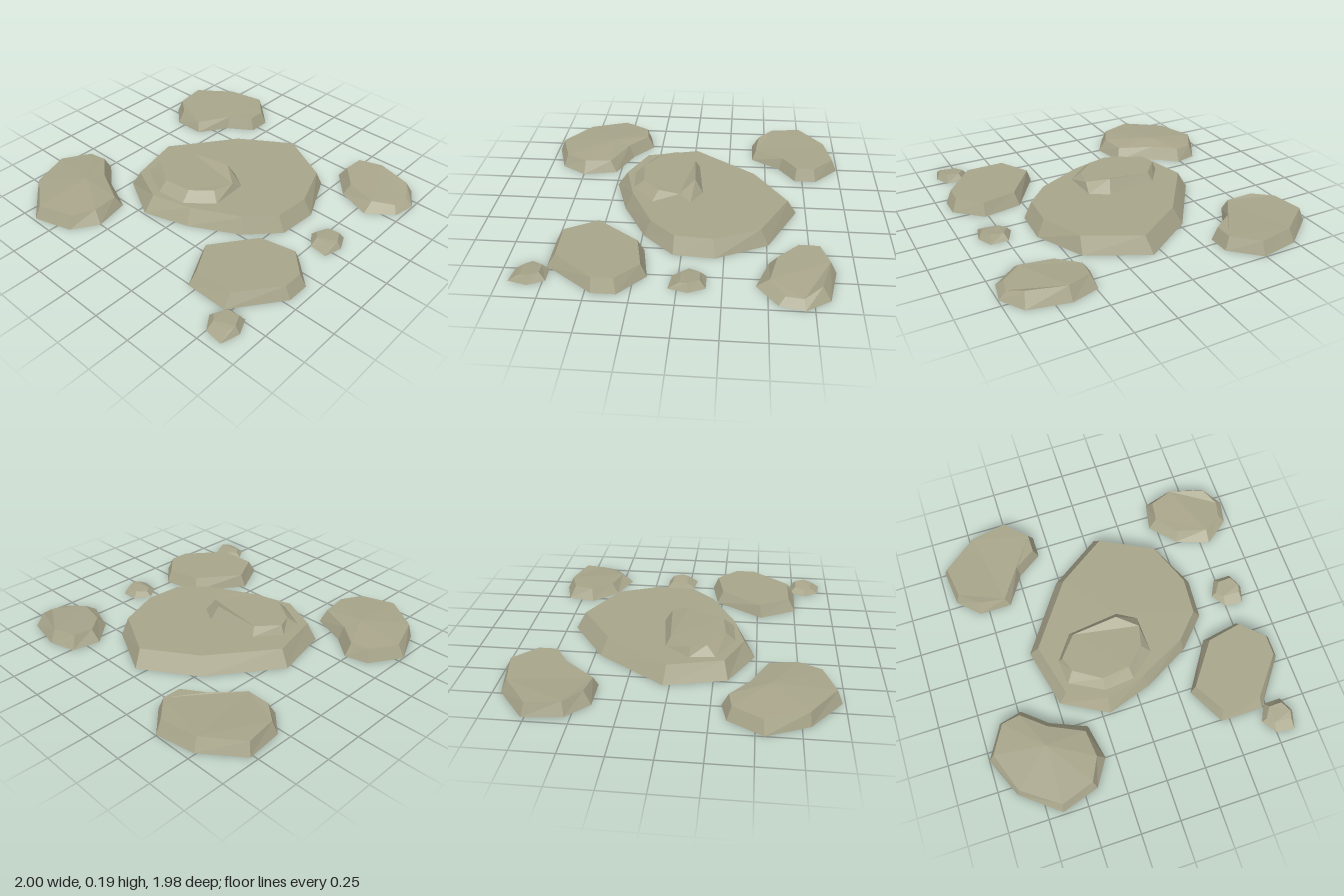
import * as THREE from 'three';

const stone = new THREE.MeshStandardMaterial({ color: 0xa8a58b, side: THREE.DoubleSide });
stone.name = 'khaki stone';

// Rings run clockwise seen from above; each point is [x, z] or [x, z, y]
const ring = (points, y) => points.map(p => new THREE.Vector3(p[0], p[2] ?? y, p[1]));

// Sloping sides between two rings of equal length
function sides(low, high) {
  const tris = [];
  low.forEach((a, i) => {
    const j = (i + 1) % low.length;
    tris.push([a, high[i], low[j]], [low[j], high[i], high[j]]);
  });
  return tris;
}

// Upward-facing lid, either fanned to a peak or triangulated around a hole
function lid(edge, { peak, hole } = {}) {
  if (peak) return edge.map((a, i) => [peak, edge[(i + 1) % edge.length], a]);
  const flat = r => r.map(p => new THREE.Vector2(p.x, -p.z));
  const all = hole ? [...edge, ...hole] : edge;
  // Reversed copies keep the winding the triangulator expects
  const outer = flat(edge), holes = hole ? [flat(hole)] : [];
  return THREE.ShapeUtils.triangulateShape(outer, holes).map(f => {
    const [a, b, c] = f.map(i => all[i]);
    const up = (b.z - a.z) * (c.x - a.x) - (b.x - a.x) * (c.z - a.z);
    return up > 0 ? [a, b, c] : [a, c, b];
  });
}

function makeMesh(name, tris) {
  const geo = new THREE.BufferGeometry().setFromPoints(tris.flat());
  geo.computeVertexNormals();
  const mesh = new THREE.Mesh(geo, stone);
  mesh.name = name;
  return mesh;
}

// Simple open-bottomed slab
function slab(name, base, top, height, peak) {
  const low = ring(base, 0), high = ring(top, height);
  return makeMesh(name, [...sides(low, high), ...lid(high, { peak })]);
}

export function createModel() {
  const group = new THREE.Group();
  group.name = 'steppingStones';

  // Large central stone with an opening under its raised upper layer
  const low = ring([[-.575, -.04], [-.275, -.465], [.06, -.69], [.425, -.51], [.575, -.2],
    [.56, .05], [.38, .24], [.085, .4], [-.2, .49], [-.485, .335]], 0);
  const high = ring([[-.515, -.025], [-.23, -.42], [.085, -.63], [.415, -.46], [.525, -.185],
    [.51, .045], [.365, .2], [.065, .35], [-.19, .42], [-.43, .31]], .105);
  const stepLow = ring([[-.415, .1], [-.3, -.055], [.03, -.095], [.147, -.025],
    [.158, .215], [0, .35], [-.19, .367], [-.4, .255]], .105);
  const stepHigh = ring([[-.39, .105], [-.28, -.025], [.01, -.045, .19], [.135, .045, .155],
    [.105, .18], [-.013, .285], [-.19, .305], [-.355, .2]], .16);
  group.add(makeMesh('centralStone', [...sides(low, high), ...lid(high, { hole: stepLow })]));
  group.add(makeMesh('centralStoneUpperLayer', [...sides(stepLow, stepHigh), ...lid(stepHigh)]));

  // Four medium stones around it
  group.add(slab('backRightStone',
    [[-.965, -.77], [-.74, -.95], [-.495, -.995], [-.33, -.84], [-.33, -.7],
      [-.485, -.595], [-.605, -.41], [-.81, -.41], [-.94, -.535]],
    [[-.94, -.75], [-.725, -.915], [-.495, -.96], [-.36, -.825], [-.36, -.71],
      [-.495, -.62], [-.63, -.435, .065], [-.795, -.455], [-.91, -.55]], .082));
  group.add(slab('frontRightStone',
    [[-1, .55], [-.88, .345], [-.735, .31], [-.585, .435], [-.36, .53],
      [-.315, .75], [-.415, .91], [-.655, .985], [-.89, .8]],
    [[-.96, .54], [-.86, .37], [-.745, .35], [-.6, .47], [-.385, .57, .075],
      [-.365, .74], [-.435, .88], [-.645, .95], [-.87, .79]], .083,
    new THREE.Vector3(-.64, .105, .585)));
  group.add(slab('frontLeftStone',
    [[.325, .525], [.525, .22], [.77, .175], [.935, .325], [.935, .465], [.72, .757], [.45, .757]],
    [[.355, .515], [.545, .255], [.765, .21], [.9, .34], [.9, .465], [.71, .705], [.465, .71]], .083));
  group.add(slab('backLeftStone',
    [[.49, -.84], [.66, -.89], [.905, -.84], [.995, -.7], [.965, -.555],
      [.81, -.435], [.6, -.51], [.455, -.665]],
    [[.52, -.8], [.665, -.85], [.885, -.79], [.95, -.69, .045], [.93, -.59, .04],
      [.81, -.51, .055], [.62, -.555, .065], [.505, -.68, .075]], .083));

  // Two matching pebbles on the left side
  [0, .895].forEach((z, i) => {
    const pebble = slab(i ? 'frontPebble' : 'middlePebble',
      [[.687, -.055], [.74, -.16], [.85, -.16], [.895, -.065], [.865, .05], [.75, .035]],
      [[.715, -.06, .03], [.757, -.125], [.837, -.125, .05], [.87, -.06, .05],
        [.858, -.015], [.752, -.02, .035]], .04);
    pebble.position.z = z;
    group.add(pebble);
  });

  return group;
}
